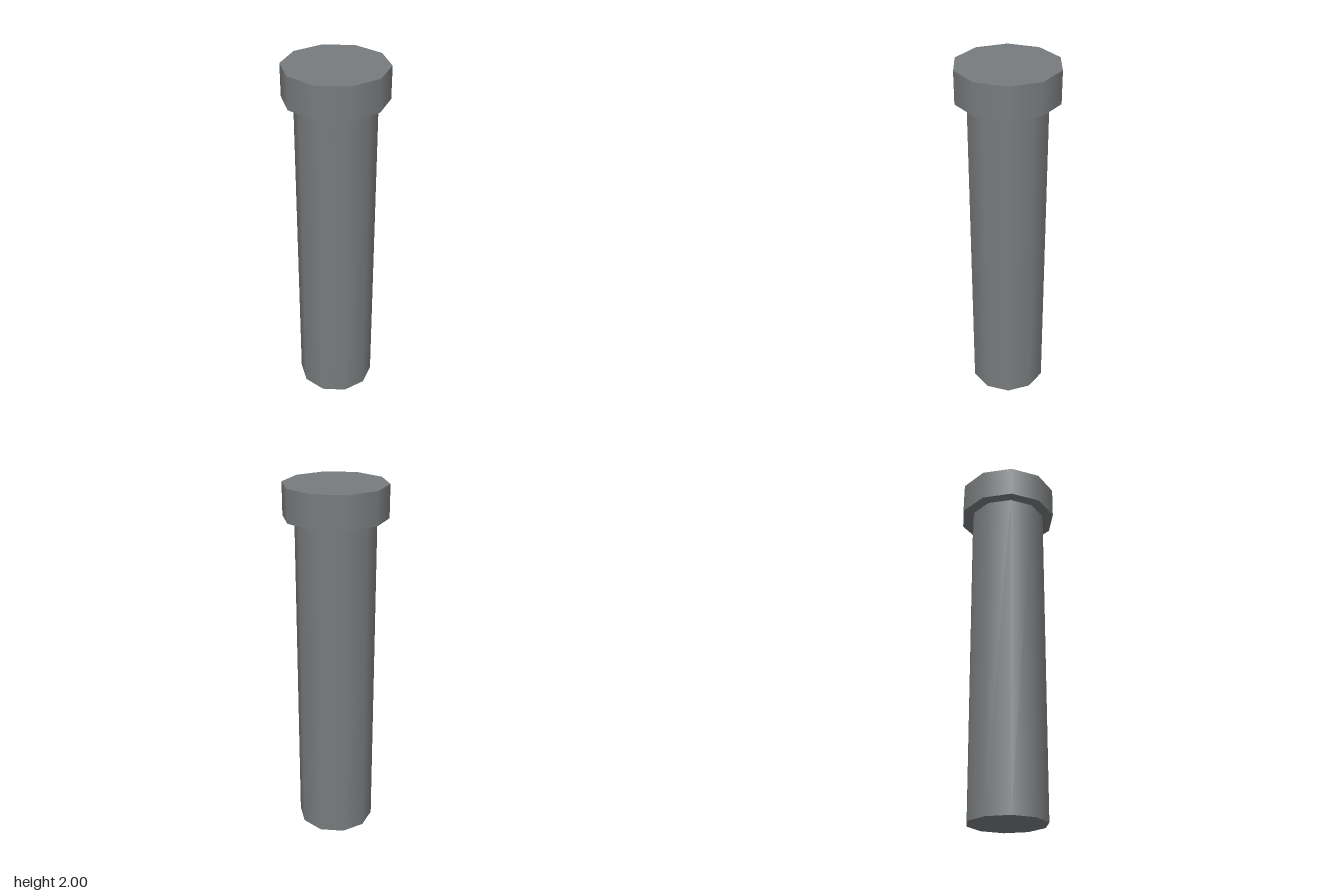
import * as THREE from 'three';

const SIDES = 10;

export function createModel() {
  const model = new THREE.Group();
  model.name = 'bolt';
  const metal = new THREE.MeshStandardMaterial({ color: 0x787b7d });

  // Ten-sided prism with smooth sides, flat caps and corners on the x axis
  function addPrism(name, radius, bottom, top) {
    const geometry = new THREE.CylinderGeometry(
      radius, radius, top - bottom, SIDES, 1, false, Math.PI / 2, Math.PI * 2);
    const mesh = new THREE.Mesh(geometry, metal);
    mesh.name = name;
    mesh.position.y = (bottom + top) / 2;
    model.add(mesh);
  }

  addPrism('shaft', 0.215, 0, 1.825);
  addPrism('head', 0.277, 1.825, 2);

  return model;
}
